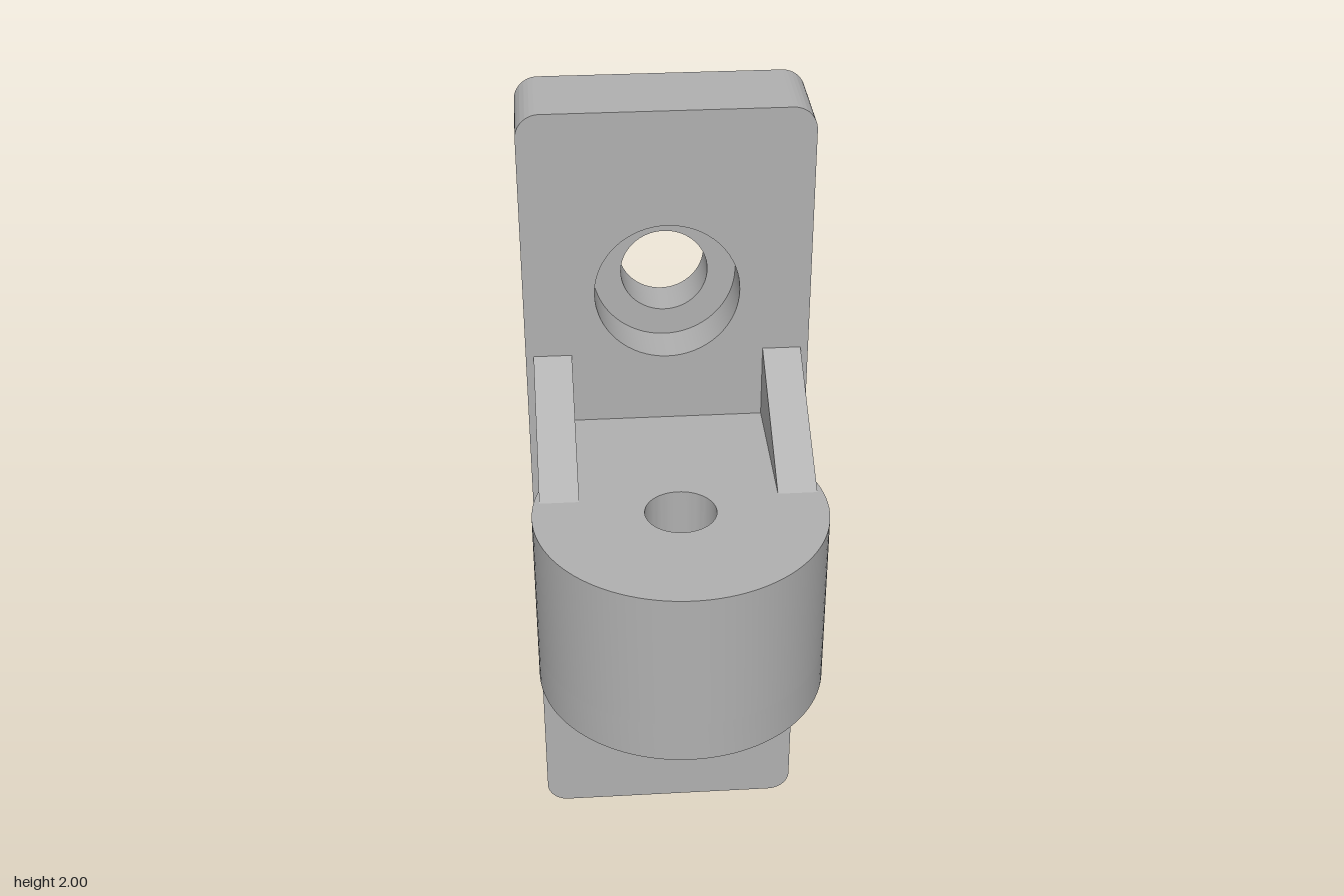
import * as THREE from 'three';
import { toCreasedNormals } from 'three/addons/utils/BufferGeometryUtils.js';

const grey = new THREE.MeshStandardMaterial({ color: 0xb0b0b0 });
grey.name = 'plain grey';

const MID = 1.004;                          // height of the lug's centre line
const PLATE_BACK = -0.463, PLATE_FRONT = -0.243;
const LUG_BOTTOM = 0.783, LUG_TOP = 1.224, LUG_Z = 0.166;

function extrude(shape, depth) {
  const g = new THREE.ExtrudeGeometry(shape, { depth, bevelEnabled: false, curveSegments: 32 });
  return toCreasedNormals(g, 0.6);
}

function circleHole(x, y, r) {
  const path = new THREE.Path();
  path.absarc(x, y, r, 0, Math.PI * 2, true);
  return path;
}

// Rounded rectangle with two screw holes of the given radius
function plateShape(holeRadius) {
  const w = 0.333, h = 2, r = 0.055;
  const s = new THREE.Shape();
  s.absarc(w - r, r, r, -Math.PI / 2, 0);
  s.absarc(w - r, h - r, r, 0, Math.PI / 2);
  s.absarc(-w + r, h - r, r, Math.PI / 2, Math.PI);
  s.absarc(-w + r, r, r, Math.PI, Math.PI * 1.5);
  s.closePath();
  for (const y of [0.449, 1.559]) s.holes.push(circleHole(0, y, holeRadius));
  return s;
}

// Plan of the lug: straight neck from the plate into a round end
function lugShape(hole) {
  const r = 0.333, neck = 0.315;
  const a = Math.acos(neck / r);
  const s = new THREE.Shape();
  s.moveTo(-neck, PLATE_FRONT);
  s.lineTo(neck, PLATE_FRONT);
  s.absarc(0, LUG_Z, r, -a, Math.PI + a);
  s.closePath();
  s.holes.push(hole);
  return s;
}

function hexHole(r) {
  const pts = [];
  for (let i = 0; i < 6; i++) {
    const a = -i * Math.PI / 3;
    pts.push(new THREE.Vector2(r * Math.cos(a), LUG_Z + r * Math.sin(a)));
  }
  return new THREE.Path([...pts, pts[0].clone()]);
}

export function createModel() {
  const model = new THREE.Group();
  model.name = 'mountingBracket';
  const add = (name, geometry) => {
    const mesh = new THREE.Mesh(geometry, grey);
    mesh.name = name;
    model.add(mesh);
  };

  // Wall plate: narrow holes behind, counterbores in front
  const half = (PLATE_FRONT - PLATE_BACK) / 2;
  add('plateBack', extrude(plateShape(0.102), half).translate(0, 0, PLATE_BACK));
  add('plateFront', extrude(plateShape(0.168), half).translate(0, 0, PLATE_BACK + half));

  // Raised pad on the back
  add('backPad', new THREE.BoxGeometry(0.214, 0.632, 0.037).translate(0, MID, -0.4815));

  // Lug: nut pocket below, bolt hole above
  const pocket = 0.1;
  add('lugLower', extrude(lugShape(hexHole(0.145)), pocket)
    .rotateX(Math.PI / 2).translate(0, LUG_BOTTOM + pocket, 0));
  add('lugUpper', extrude(lugShape(circleHole(0, LUG_Z, 0.081)), LUG_TOP - LUG_BOTTOM - pocket)
    .rotateX(Math.PI / 2).translate(0, LUG_TOP, 0));

  // Triangular ribs above and below the lug on both sides
  const ribs = [
    ['upperRib', [[PLATE_FRONT, LUG_TOP], [0.11, LUG_TOP], [PLATE_FRONT, 1.402]]],
    ['lowerRib', [[PLATE_FRONT, LUG_BOTTOM], [PLATE_FRONT, 0.604], [0.11, LUG_BOTTOM]]],
  ];
  for (const [name, corners] of ribs) {
    const shape = new THREE.Shape(corners.map(([z, y]) => new THREE.Vector2(z, y)));
    for (const [side, outerX] of [['Left', 0.315], ['Right', -0.225]]) {
      add(name + side, extrude(shape, 0.09).rotateY(-Math.PI / 2).translate(outerX, 0, 0));
    }
  }
  return model;
}
